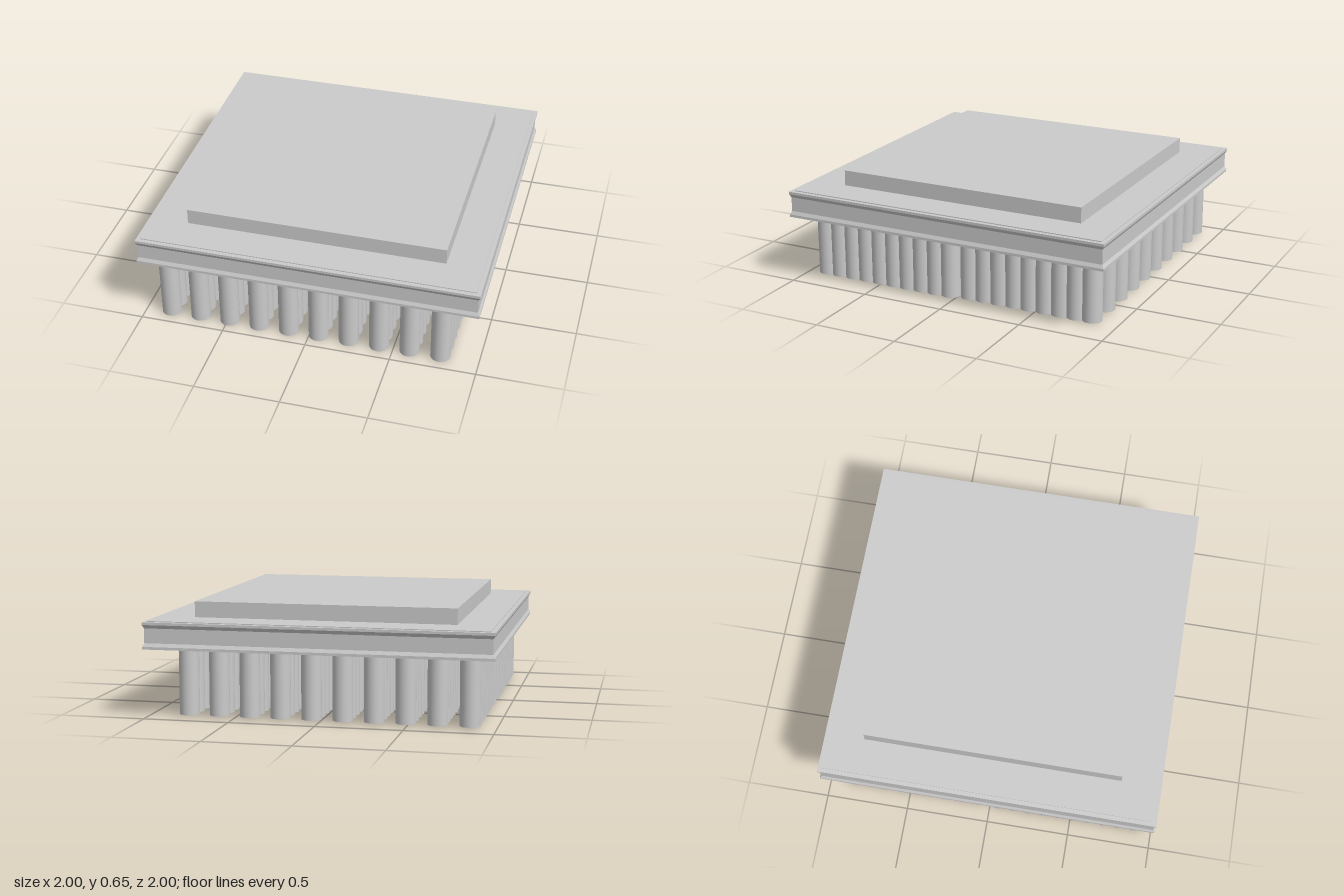
import * as THREE from 'three';

const smooth = new THREE.MeshStandardMaterial({ color: 0xcccccc });
const flat = new THREE.MeshStandardMaterial({ color: 0xcccccc, flatShading: true });

function box(name, w, y0, y1) {
  const mesh = new THREE.Mesh(new THREE.BoxGeometry(w, y1 - y0, w), flat);
  mesh.name = name;
  mesh.position.y = (y0 + y1) / 2;
  return mesh;
}

// Rows of pins running along z, repeated in evenly spaced columns
function pinBlock(name, y0, zStart, pitch, count) {
  const group = new THREE.Group();
  group.name = name;
  const top = 0.41, radius = 0.058;
  const geometry = new THREE.CylinderGeometry(radius, radius, top - y0, 24);
  for (let col = 0; col < 10; col++) {
    for (let row = 0; row < count; row++) {
      const pin = new THREE.Mesh(geometry, smooth);
      pin.name = 'pin';
      pin.position.set(-0.849 + col * 0.1804, (top + y0) / 2, zStart - row * pitch);
      group.add(pin);
    }
  }
  return group;
}

export function createModel() {
  const model = new THREE.Group();
  model.name = 'pinGridPackage';

  // Square base plate with a shallow groove around its sides
  const profile = [
    [0, 0.4], [1, 0.4], [1, 0.415], [0.99, 0.435],
    [0.99, 0.52], [1, 0.54], [1, 0.555], [0, 0.555],
  ].map(([half, y]) => new THREE.Vector2(half * Math.SQRT2, y));
  const plate = new THREE.Mesh(new THREE.LatheGeometry(profile, 4, Math.PI / 4), flat);
  plate.name = 'basePlate';
  model.add(plate);

  // Thin top panel leaving a narrow rim, and the raised lid
  model.add(box('topPanel', 1.95, 0.55, 0.56));
  model.add(box('lid', 1.525, 0.555, 0.652));

  // Front pins reach the ground, the back ones stop just short of it
  model.add(pinBlock('frontPins', 0, 0.891, 0.0935, 10));
  model.add(pinBlock('backPins', 0.01, -0.08, 0.0955, 9));

  return model;
}
